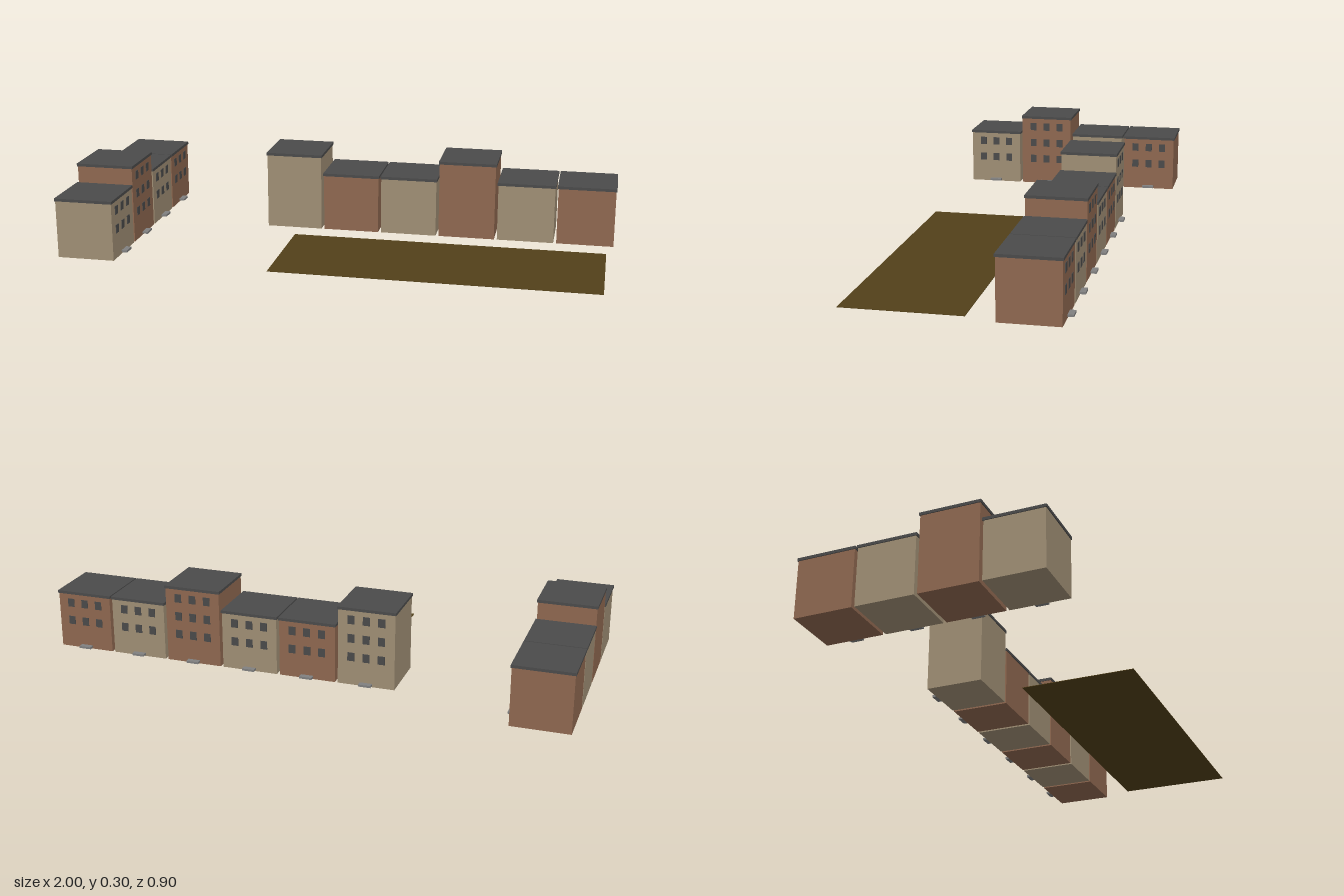
import * as THREE from 'three';

const material = (name, color) => {
  const m = new THREE.MeshStandardMaterial({ color });
  m.name = name;
  return m;
};

export function createModel() {
  const stone = material('tan stone', 0xa08f75);
  const brick = material('brown brick', 0x8f6850);
  const roofing = material('dark roofing', 0x4b4b4b);
  const glass = material('window grey', 0x4a4a4a);
  const concrete = material('concrete', 0x808080);
  const earth = material('earth', 0x524019);

  const WIDTH = 0.213, ROOF = 0.219, STOREY = 0.071, PITCH = 0.2243;

  const box = (parent, name, mat, size, pos) => {
    const mesh = new THREE.Mesh(new THREE.BoxGeometry(...size), mat);
    mesh.name = name;
    mesh.position.set(...pos);
    parent.add(mesh);
  };

  // One flat-roofed town house whose windowed facade faces local +z
  const house = (storeys, wallMat) => {
    const g = new THREE.Group();
    const height = 0.0015 + storeys * STOREY;
    box(g, 'walls', wallMat, [WIDTH, height, WIDTH], [0, height / 2, 0]);
    box(g, 'roof', roofing, [ROOF, 0.0105, ROOF], [0, height + 0.00525, 0]);
    // Upper-floor windows, three to a storey
    for (let row = 1; row < storeys; row++) {
      for (let col = -1; col <= 1; col++) {
        box(g, 'window', glass, [0.026, 0.032, 0.003],
          [col * 0.057, 0.0375 + row * STOREY, WIDTH / 2 + 0.0005]);
      }
    }
    // Front step
    box(g, 'frontStep', concrete, [0.047, 0.008, 0.022], [0, 0.009, WIDTH / 2 + 0.01]);
    return g;
  };

  const model = new THREE.Group();
  model.name = 'townBlock';

  // Terrace along x, facades towards -z
  const backRow = new THREE.Group();
  backRow.name = 'backTerrace';
  [4, 3, 3, 4, 3, 3].forEach((storeys, i) => {
    const h = house(storeys, i % 2 ? brick : stone);
    h.name = `backHouse${i + 1}`;
    h.position.set(-0.231 + i * PITCH, 0, -0.187);
    h.rotation.y = Math.PI;
    backRow.add(h);
  });

  // Terrace along z, facades towards +x
  const sideRow = new THREE.Group();
  sideRow.name = 'sideTerrace';
  [3, 4, 3, 3].forEach((storeys, i) => {
    const h = house(storeys, i % 2 ? brick : stone);
    h.name = `sideHouse${i + 1}`;
    h.position.set(-0.8905, 0, 0.332 - i * PITCH);
    h.rotation.y = Math.PI / 2;
    sideRow.add(h);
  });

  model.add(backRow, sideRow);

  // Bare lot
  box(model, 'bareLot', earth, [1.178, 0.002, 0.425], [0.383, 0.005, 0.2365]);
  return model;
}
